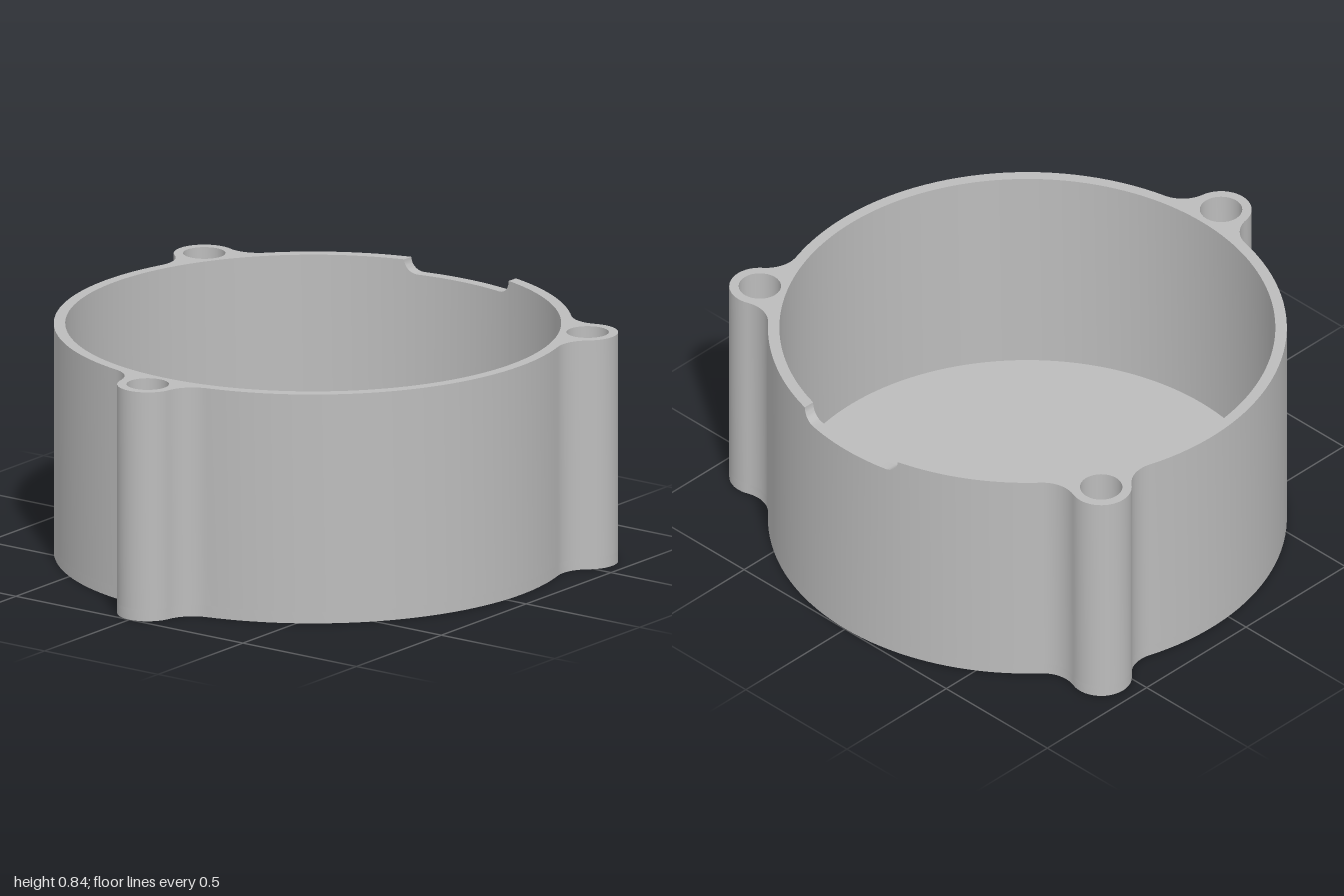
import * as THREE from 'three';
import { toCreasedNormals } from 'three/addons/utils/BufferGeometryUtils.js';

// Main dimensions
const CX = 0.083, R = 0.9155, INNER = 0.875;          // round wall
const BOSS_D = 0.975, BOSS_R = 0.108, HOLE_R = 0.075; // screw bosses
const FILLET = 0.12;
const TOP = 0.84, FLOOR = 0.042;
const NOTCH_Z = 0.23, NOTCH_DEPTH = 0.05;
const BOSS_ANGLES = [Math.PI / 3, Math.PI, Math.PI * 5 / 3];

const grey = new THREE.MeshStandardMaterial({ color: 0xbcbcbc });
grey.name = 'grey';

// Points along an arc, from angle a0 to a1
function arc(cx, cy, r, a0, a1, n) {
  const pts = [];
  for (let i = 0; i <= n; i++) {
    const a = a0 + (a1 - a0) * i / n;
    pts.push(new THREE.Vector2(cx + r * Math.cos(a), cy + r * Math.sin(a)));
  }
  return pts;
}

// Outer contour from one side of the notch round to the other, with filleted bosses
function outerContour() {
  const far = R + FILLET, near = BOSS_R + FILLET;
  const delta = Math.acos((far * far + BOSS_D * BOSS_D - near * near) / (2 * far * BOSS_D));
  const fx = far * Math.cos(delta), fy = far * Math.sin(delta);
  const phi = Math.atan2(fy, BOSS_D - fx);
  const boss = [
    ...arc(fx, -fy, FILLET, Math.PI - delta, phi, 12),
    ...arc(BOSS_D, 0, BOSS_R, phi - Math.PI, Math.PI - phi, 24).slice(1),
    ...arc(fx, fy, FILLET, -phi, delta - Math.PI, 12).slice(1),
  ];
  const origin = new THREE.Vector2();
  const gap = Math.asin(NOTCH_Z / R);
  const pts = [];
  let from = gap;
  for (const angle of BOSS_ANGLES) {
    pts.push(...arc(0, 0, R, from, angle - delta, 36).slice(0, -1));
    pts.push(...boss.map((p) => p.clone().rotateAround(origin, angle)).slice(0, -1));
    from = angle + delta;
  }
  pts.push(...arc(0, 0, R, from, 2 * Math.PI - gap, 36));
  return pts.map((p) => p.setX(p.x + CX));
}

// Extrude a plan shape upward between two heights
function slab(shape, y0, y1) {
  const geo = new THREE.ExtrudeGeometry(shape, { depth: y1 - y0, bevelEnabled: false });
  geo.rotateX(Math.PI / 2).translate(0, y1, 0);
  return toCreasedNormals(geo, 0.6);
}

// Wall below the notch, with a rounded dip in its upper edge
function notchGeometry() {
  const zs = [], corner = 10, flat = NOTCH_Z - NOTCH_DEPTH;
  for (let i = 0; i <= corner; i++) zs.push(-flat - NOTCH_DEPTH * Math.cos(i / corner * Math.PI / 2));
  for (let i = 1; i < 12; i++) zs.push(-flat + 2 * flat * i / 12);
  for (let i = 0; i <= corner; i++) zs.push(flat + NOTCH_DEPTH * Math.sin(i / corner * Math.PI / 2));
  const sections = zs.map((z) => {
    const t = Math.max(0, Math.abs(z) - flat);
    const y = TOP - Math.sqrt(Math.max(0, NOTCH_DEPTH ** 2 - t * t));
    const xi = CX + Math.sqrt(INNER ** 2 - z * z), xo = CX + Math.sqrt(R ** 2 - z * z);
    return [[xi, FLOOR, z], [xi, y, z], [xo, y, z], [xo, FLOOR, z]];
  });
  const pos = [];
  for (let i = 0; i < sections.length - 1; i++) {
    const a = sections[i], b = sections[i + 1];
    for (let k = 0; k < 3; k++) {
      pos.push(...a[k], ...b[k], ...b[k + 1], ...a[k], ...b[k + 1], ...a[k + 1]);
    }
  }
  const geo = new THREE.BufferGeometry();
  geo.setAttribute('position', new THREE.Float32BufferAttribute(pos, 3));
  return toCreasedNormals(geo, 0.6);
}

export function createModel() {
  const group = new THREE.Group();
  group.name = 'roundHousing';
  const add = (name, geo) => {
    const mesh = new THREE.Mesh(geo, grey);
    mesh.name = name;
    group.add(mesh);
  };

  // Floor: the whole outline, closed across the notch
  const outer = outerContour();
  const gap = Math.asin(NOTCH_Z / R);
  add('floor', slab(new THREE.Shape([...outer, ...arc(CX, 0, R, -gap, gap, 12).slice(1, -1)]), 0, FLOOR));

  // Wall with bosses, open at the notch, with blind screw holes
  const innerGap = Math.asin(NOTCH_Z / INNER);
  const wall = new THREE.Shape([...outer, ...arc(CX, 0, INNER, 2 * Math.PI - innerGap, innerGap, 140)]);
  for (const a of BOSS_ANGLES) {
    const x = CX + BOSS_D * Math.cos(a), z = BOSS_D * Math.sin(a);
    wall.holes.push(new THREE.Path(arc(x, z, HOLE_R, 2 * Math.PI, 0, 32).slice(0, -1)));
  }
  add('wallWithBosses', slab(wall, FLOOR, TOP));

  // Lowered wall section at the notch
  add('notchWall', notchGeometry());
  return group;
}
